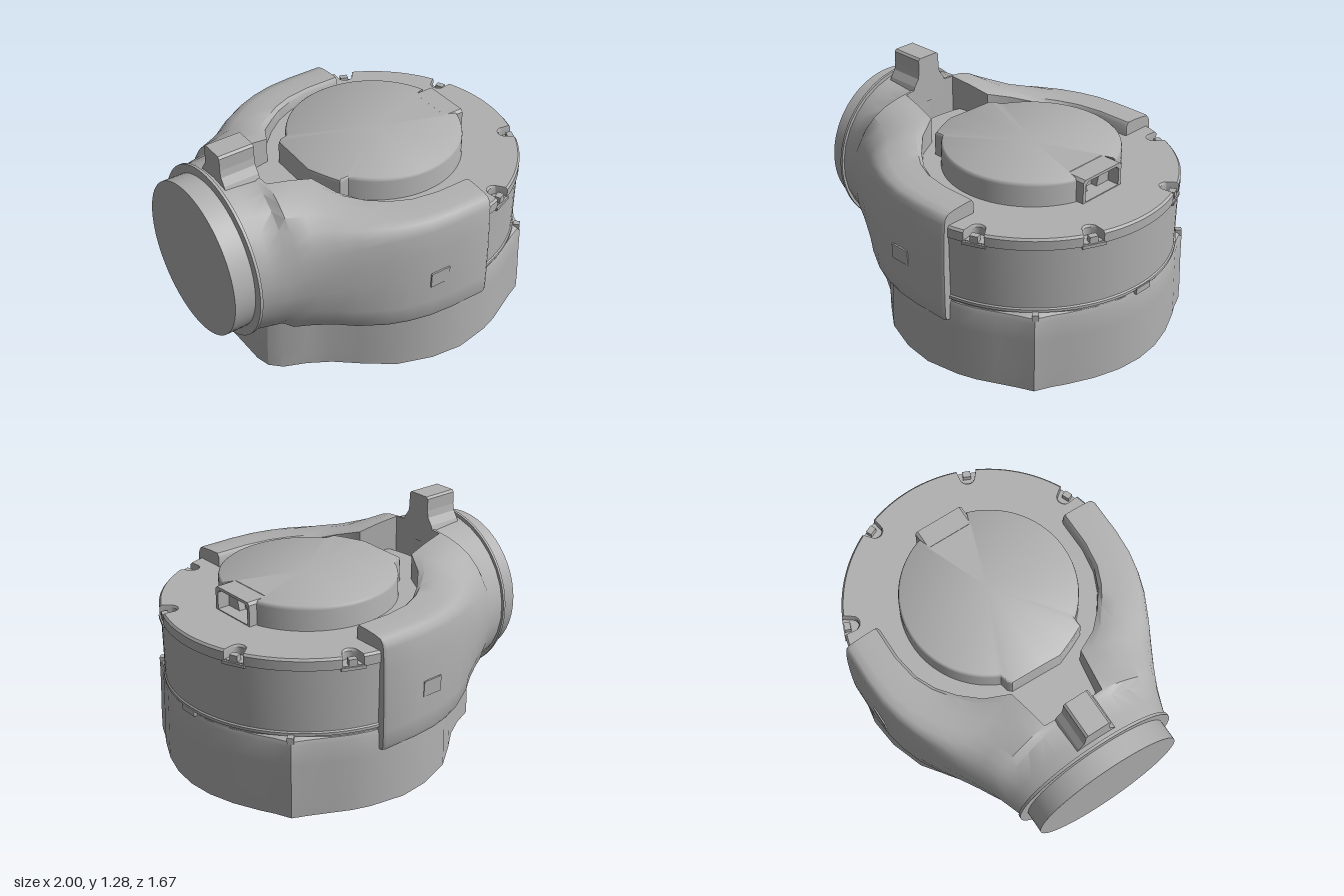
import * as THREE from 'three';
import { toCreasedNormals } from 'three/addons/utils/BufferGeometryUtils.js';

const CX = 0.19; // drum axis

// Skin a series of closed rings and close both ends with fans
function loft(rings, crease = 0.6) {
  const n = rings[0].length, pos = rings.flat(2), idx = [];
  for (let i = 0; i < rings.length - 1; i++) {
    for (let j = 0; j < n; j++) {
      const a = i * n + j, b = i * n + (j + 1) % n;
      idx.push(a, b, a + n, b, b + n, a + n);
    }
  }
  for (const [r, flip] of [[0, true], [rings.length - 1, false]]) {
    const c = pos.length / 3;
    for (let k = 0; k < 3; k++) pos.push(rings[r].reduce((s, p) => s + p[k], 0) / n);
    for (let j = 0; j < n; j++) {
      const a = r * n + j, b = r * n + (j + 1) % n;
      flip ? idx.push(a, c, b) : idx.push(a, b, c);
    }
  }
  // Turn the faces outward if the enclosed volume is negative
  let vol = 0;
  const v = (i) => new THREE.Vector3(pos[3 * i], pos[3 * i + 1], pos[3 * i + 2]);
  for (let i = 0; i < idx.length; i += 3) vol += v(idx[i]).dot(v(idx[i + 1]).cross(v(idx[i + 2])));
  if (vol < 0) idx.reverse();
  const g = new THREE.BufferGeometry();
  g.setAttribute('position', new THREE.Float32BufferAttribute(pos, 3));
  g.setIndex(idx);
  return toCreasedNormals(g, crease);
}

// Stack an [x, z] outline at [height, scale] levels about the drum axis
const stack = (outline, levels, crease) => loft(levels.map(([y, s]) =>
  outline.map(([x, z]) => [CX + (x - CX) * s, y, z * s])), crease);

export function createModel() {
  const group = new THREE.Group();
  const grey = new THREE.MeshStandardMaterial({ color: 0xb0b0b0 });
  grey.name = 'plastic grey';
  const add = (name, geometry, x = 0, y = 0, z = 0) => {
    const m = new THREE.Mesh(geometry, grey);
    m.name = name;
    m.position.set(x, y, z);
    group.add(m);
    return m;
  };

  // Base tray: round body, two corner bulges and a nose below the duct
  const half = [[1, 0], [0.985, 0.15], [0.94, 0.3], [0.87, 0.45], [0.83, 0.52], [0.79, 0.61],
    [0.7, 0.65], [0.6, 0.7], [0.5, 0.75], [0.4, 0.785], [0.2, 0.82], [0.02, 0.8], [-0.18, 0.73],
    [-0.34, 0.61], [-0.46, 0.51], [-0.58, 0.44], [-0.7, 0.39], [-0.76, 0.33], [-0.78, 0.25], [-0.78, 0]];
  const tray = [...half, ...half.slice(1, -1).reverse().map(([x, z]) => [x, -z])];
  add('baseTray', stack(tray, [[0, 1], [0.1, 1], [0.3, 0.992], [0.42, 0.99], [0.445, 0.98], [0.46, 0.95]], 0.5));

  // Upper drum
  const body = [[0.001, 0.43], [0.79, 0.43], [0.79, 0.455], [0.803, 0.462], [0.803, 0.478],
    [0.796, 0.485], [0.8, 0.845], [0.001, 0.845]].map(([r, y]) => new THREE.Vector2(r, y));
  add('upperDrum', toCreasedNormals(new THREE.LatheGeometry(body, 96), 0.5), CX);

  // Drum lid with rounded cut-outs in its rim
  const notches = [-68, -24, 24, 68].map((d) => d * Math.PI / 180);
  const rim = Array.from({ length: 360 }, (_, i) => {
    const a = i / 360 * Math.PI * 2 - Math.PI;
    let r = 0.806;
    for (const n of notches) {
      const d = Math.abs(a - n) * 0.8;
      if (d < 0.05) r = 0.77 - Math.sqrt(0.0025 - d * d);
    }
    return [CX + r * Math.cos(a), r * Math.sin(a)];
  });
  add('drumLid', stack(rim, [[0.835, 1], [0.888, 1], [0.9, 0.987]], 0.5));

  // Latches in the cut-outs and along the seam
  const latch = (name, a, r, y, w, h, d) => {
    add(name, new THREE.BoxGeometry(d, h, w), CX + r * Math.cos(a), y, r * Math.sin(a)).rotation.y = -a;
  };
  for (const a of notches) {
    latch('lidLatch', a, 0.785, 0.855, 0.045, 0.05, 0.035);
    latch('latchLedge', a, 0.795, 0.832, 0.13, 0.018, 0.03);
  }
  latch('seamTab', 0, 0.79, 0.455, 0.11, 0.035, 0.035);
  for (const a of [-0.79, 0.79]) {
    latch('seamClip', a, 0.825, 0.453, 0.035, 0.035, 0.035);
  }

  // Raised top cap, flat on the right where the recess sits
  const cap = [];
  for (let i = 0; i <= 60; i++) {
    const a = 0.32 + (2.47 - 0.32) * i / 60;
    cap.push([CX - 0.01 + 0.49 * Math.cos(a), 0.49 * Math.sin(a)]);
  }
  cap.push([-0.26, 0.305], [-0.3, 0.22], [-0.34, 0.12], [-0.335, 0], [-0.33, -0.18], [-0.31, -0.2], [-0.265, -0.21]);
  for (let i = 0; i <= 60; i++) {
    const a = -2.68 + (2.68 - 0.32) * i / 60;
    cap.push([CX - 0.01 + 0.49 * Math.cos(a), 0.49 * Math.sin(a)]);
  }
  cap.push([0.58, -0.14], [0.58, 0.14]);
  add('topCap', stack(cap, [[0.89, 1.01], [0.91, 1], [1.015, 1], [1.03, 0.992], [1.036, 0.975]], 0.7));

  // Frame round the recess at the end of the cap
  const frame = new THREE.Shape([[-0.15, 0.89], [0.15, 0.89], [0.15, 1.02], [0.135, 1.034],
    [-0.135, 1.034], [-0.15, 1.02]].map((p) => new THREE.Vector2(...p)));
  frame.holes.push(new THREE.Path([[-0.13, 0.905], [-0.13, 1], [-0.11, 1.018], [0.11, 1.018],
    [0.13, 1], [0.13, 0.905]].map((p) => new THREE.Vector2(...p))));
  const frameGeo = new THREE.ExtrudeGeometry(frame, { depth: 0.12, bevelEnabled: false });
  add('capRecessFrame', frameGeo.rotateY(Math.PI / 2), 0.57);

  // Flared webs inside the recess
  for (const s of [1, -1]) {
    const web = new THREE.Shape([[0.035, 0.9], [0.13, 0.9], [0.13, 1.02], [0.08, 1.02], [0.055, 0.98]]
      .map(([z, y]) => new THREE.Vector2(z * s, y)));
    add('capRecessWeb', new THREE.ExtrudeGeometry(web, { depth: 0.05, bevelEnabled: false })
      .rotateY(Math.PI / 2), 0.57);
  }

  // Duct arms: outer x, outer z, inner x, inner z, blend from box to circle
  const stations = [[0.35, 0.82, 0.35, 0.605, 0], [0.335, 0.83, 0.335, 0.6, 0], [0.12, 0.83, 0.15, 0.6, 0],
    [-0.02, 0.82, 0, 0.575, 0.01], [-0.14, 0.795, -0.11, 0.525, 0.04], [-0.25, 0.76, -0.21, 0.45, 0.1],
    [-0.4, 0.69, -0.31, 0.35, 0.3], [-0.5, 0.64, -0.38, 0.22, 0.55], [-0.6, 0.585, -0.5, 0.2, 0.72],
    [-0.68, 0.545, -0.63, 0.18, 0.85], [-0.72, 0.53, -0.64, 0, 0.9], [-0.8, 0.5, -0.8, 0, 0.97],
    [-0.87, 0.475, -0.87, 0, 1]];
  // Box section: fraction from outer to inner edge, then height
  const box = [[0.06, 0.335], [0.01, 0.36], [0, 0.45], [0, 0.65], [0.02, 0.8], [0.05, 0.91], [0.08, 0.94],
    [0.16, 0.963], [0.35, 0.972], [0.65, 0.978], [0.93, 0.98], [1, 0.96]];
  for (const side of [1, -1]) {
    const rings = stations.map(([xo, zo, xi, zi, t]) => {
      const section = box.map(([f, y], i) => {
        const a = THREE.MathUtils.lerp(-0.735, Math.PI / 2, i / (box.length - 1));
        return [f + (1 - Math.cos(a) - f) * t, y + (0.65 + 0.47 * Math.sin(a) - y) * t];
      });
      section.push([1, 0.88], [1, 0.335]);
      return section.map(([f, y]) => [xo + (xi - xo) * f, y, side * (zo + (zi - zo) * f)]);
    });
    add(side > 0 ? 'frontDuctArm' : 'backDuctArm', loft(rings, 0.75));

    // Small sloping pad on the duct side
    add('sidePad', new THREE.BoxGeometry(0.12, 0.09, 0.009), 0.02, 0.605, side * 0.827).rotation.x = side * 0.04;
  }

  // Inlet flange and pipe
  const disc = (name, r, x0, x1) => add(name,
    new THREE.CylinderGeometry(r, r, x1 - x0, 72).rotateZ(Math.PI / 2), (x0 + x1) / 2, 0.65);
  disc('inletFlange', 0.49, -0.88, -0.864);
  disc('inletPipe', 0.44, -1, -0.87);

  // Upright lug above the inlet
  const lug = new THREE.Shape([[-0.16, 1.0], [0.16, 1.0], [0.11, 1.12], [0.082, 1.16], [0.075, 1.2], [0.075, 1.27],
    [0.063, 1.282], [-0.063, 1.282], [-0.075, 1.27], [-0.075, 1.2], [-0.082, 1.16], [-0.11, 1.12]]
    .map((p) => new THREE.Vector2(...p)));
  add('topLug', new THREE.ExtrudeGeometry(lug, { depth: 0.205, bevelEnabled: false }).rotateY(Math.PI / 2), -0.838);

  return group;
}
